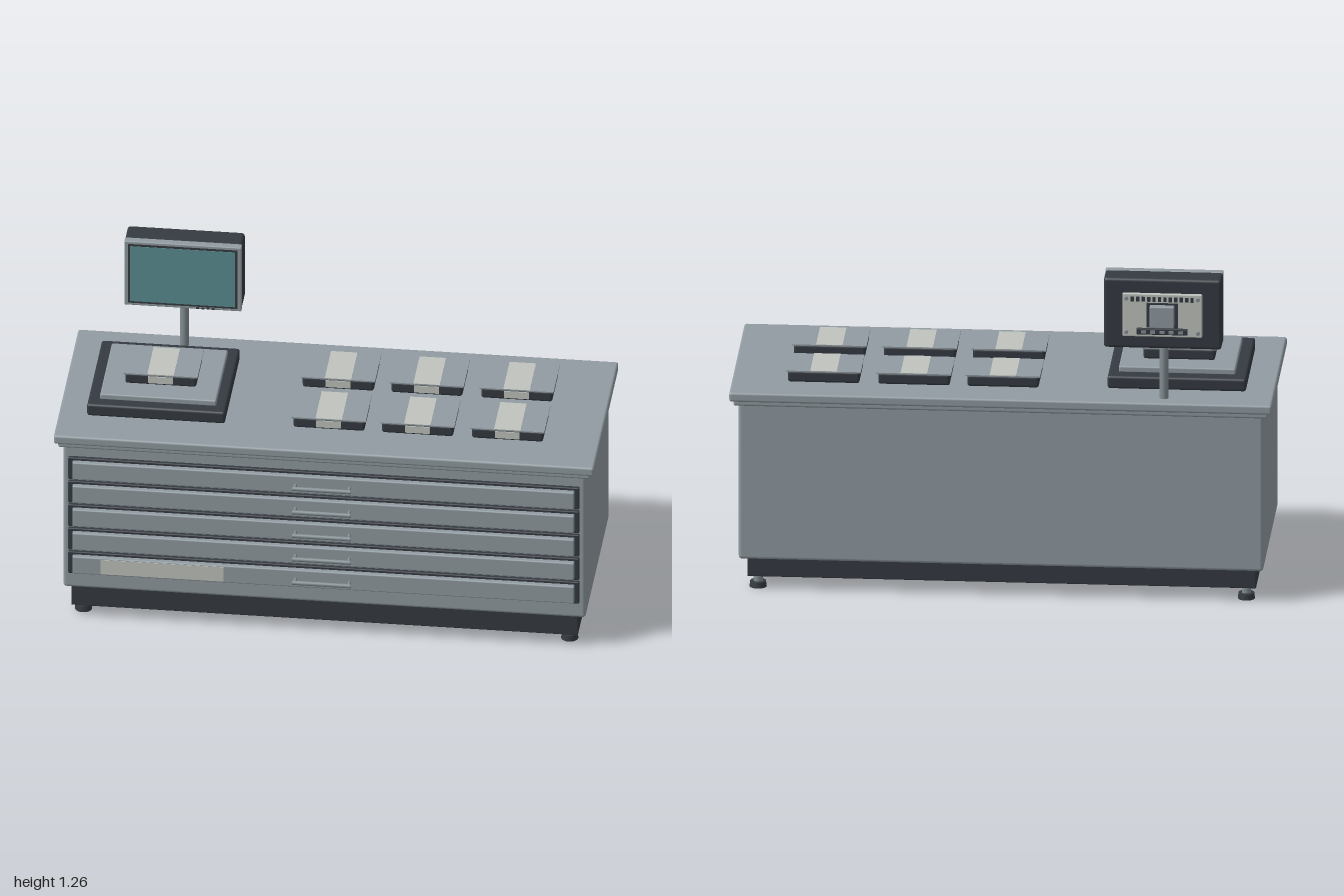
import * as THREE from 'three';
import { RoundedBoxGeometry } from 'three/addons/geometries/RoundedBoxGeometry.js';

const mat = (name, color) => Object.assign(new THREE.MeshStandardMaterial({ color }), { name });

export function createModel() {
  const grey = mat('cabinet grey', 0x909ba1);
  const dark = mat('charcoal', 0x353b42);
  const metal = mat('brushed metal', 0x838e93);
  const cream = mat('label cream', 0xbfc3bd);
  const teal = mat('screen teal', 0x5b8e91);

  const root = new THREE.Group();
  root.name = 'displayCounter';

  const add = (parent, name, geo, material, x = 0, y = 0, z = 0) => {
    const m = new THREE.Mesh(geo, material);
    m.name = name;
    m.position.set(x, y, z);
    parent.add(m);
    return m;
  };
  // Box given by its limits on each axis; r rounds the edges
  const box = (parent, name, material, [x0, x1], [y0, y1], [z0, z1], r = 0) => {
    const s = [x1 - x0, y1 - y0, z1 - z0];
    const geo = r ? new RoundedBoxGeometry(...s, 3, r) : new THREE.BoxGeometry(...s);
    return add(parent, name, geo, material, (x0 + x1) / 2, (y0 + y1) / 2, (z0 + z1) / 2);
  };
  const group = (name, x = 0, y = 0, z = 0) => {
    const g = new THREE.Group();
    g.name = name;
    g.position.set(x, y, z);
    root.add(g);
    return g;
  };

  // Cabinet carcass, plinth and worktop
  box(root, 'cabinetBody', grey, [-0.967, 0.967], [0.128, 0.74], [-0.377, 0.347], 0.012);
  box(root, 'plinth', dark, [-0.938, 0.938], [0.048, 0.132], [-0.336, 0.34], 0.004);
  box(root, 'worktopLip', grey, [-0.985, 0.985], [0.73, 0.755], [-0.393, 0.36], 0.008);
  box(root, 'worktop', grey, [-1, 1], [0.749, 0.785], [-0.405, 0.371], 0.009);

  // Levelling feet
  for (const x of [-0.9, 0.9]) for (const z of [0.275, -0.303]) {
    const foot = group('foot', x, 0, z);
    add(foot, 'footPad', new THREE.CylinderGeometry(0.029, 0.032, 0.022, 24), dark, 0, 0.011, 0);
    add(foot, 'footStem', new THREE.CylinderGeometry(0.017, 0.017, 0.04, 20), metal, 0, 0.038, 0);
  }

  // Five shallow drawers with bar handles
  for (let i = 0; i < 5; i++) {
    const d = group('drawer', 0, 0.242 + i * 0.1005, 0);
    box(d, 'drawerSurround', dark, [-0.947, 0.945], [-0.046, 0.046], [0.34, 0.361], 0.004);
    box(d, 'drawerFront', grey, [-0.93, 0.928], [-0.036, 0.036], [0.355, 0.38], 0.005);
    const rail = new THREE.CylinderGeometry(0.008, 0.008, 0.216, 14).rotateZ(Math.PI / 2);
    add(d, 'handleBar', rail, metal, -0.003, 0, 0.409);
    for (const x of [-0.103, 0.097]) {
      const post = new THREE.CylinderGeometry(0.006, 0.006, 0.032, 12).rotateX(Math.PI / 2);
      add(d, 'handlePost', post, metal, x, 0, 0.394);
    }
    if (i === 0) box(d, 'drawerLabel', cream, [-0.825, -0.37], [-0.03, 0.031], [0.379, 0.382]);
  }

  // Weighing platform
  box(root, 'scaleBase', dark, [-0.895, -0.384], [0.785, 0.834], [-0.256, 0.214], 0.01);
  box(root, 'scalePlate', grey, [-0.852, -0.422], [0.83, 0.855], [-0.203, 0.168], 0.006);

  // Wrapped packs: dark body, grey lid, cream band over the lid and down the front
  const pack = (x, y, z) => {
    const p = group('pack', x, y, z);
    box(p, 'packBody', dark, [-0.132, 0.132], [0, 0.044], [-0.095, 0.095], 0.01);
    box(p, 'packLid', grey, [-0.137, 0.137], [0.041, 0.046], [-0.098, 0.098]);
    box(p, 'bandTop', cream, [-0.049, 0.049], [0.045, 0.0475], [-0.098, 0.098]);
    box(p, 'bandFront', cream, [-0.046, 0.046], [0.009, 0.037], [0.093, 0.098]);
  };
  pack(-0.638, 0.853, -0.016);
  for (const x of [0, 0.328, 0.661]) for (const z of [-0.177, 0.114]) pack(x, 0.786, z);

  // Monitor on a pole
  const mon = group('monitor', -0.596, 0, 0);
  add(mon, 'pole', new THREE.CylinderGeometry(0.017, 0.017, 0.23, 24), metal, -0.003, 0.895, -0.338);
  box(mon, 'monitorBack', dark, [-0.217, 0.217], [0.988, 1.259], [-0.377, -0.28], 0.012);
  box(mon, 'bezel', grey, [-0.217, 0.217], [0.988, 1.26], [-0.288, -0.258], 0.004);
  box(mon, 'screenSurround', dark, [-0.202, 0.202], [0.999, 1.249], [-0.26, -0.2565]);
  box(mon, 'screen', teal, [-0.194, 0.194], [1.007, 1.241], [-0.258, -0.255]);
  for (let i = 0; i < 4; i++)
    box(mon, 'button', dark, [0.05 + i * 0.019, 0.061 + i * 0.019], [0.99, 0.997], [-0.26, -0.2555]);

  // Rear service panel: vents, mount block, port strip and screws
  box(mon, 'rearPanel', cream, [-0.147, 0.147], [1.038, 1.205], [-0.389, -0.37], 0.004);
  for (let i = 0; i < 12; i++) {
    const x = -0.11 + i * 0.02;
    box(mon, 'ventSlot', dark, [x - 0.006, x + 0.006], [1.176, 1.194], [-0.392, -0.386]);
  }
  box(mon, 'mountFrame', dark, [-0.058, 0.058], [1.076, 1.171], [-0.395, -0.386]);
  box(mon, 'mountBlock', grey, [-0.045, 0.045], [1.082, 1.165], [-0.42, -0.39], 0.004);
  box(mon, 'portStrip', dark, [-0.094, 0.094], [1.05, 1.073], [-0.401, -0.386], 0.003);
  for (let i = 0; i < 5; i++) {
    const x = -0.068 + i * 0.034;
    box(mon, 'port', metal, [x - 0.009, x + 0.009], [1.056, 1.067], [-0.406, -0.4]);
  }
  for (const x of [-0.132, 0.132]) for (const y of [1.056, 1.187]) {
    const screw = new THREE.CylinderGeometry(0.007, 0.007, 0.012, 12).rotateX(Math.PI / 2);
    add(mon, 'screw', screw, metal, x, y, -0.391);
  }

  return root;
}
